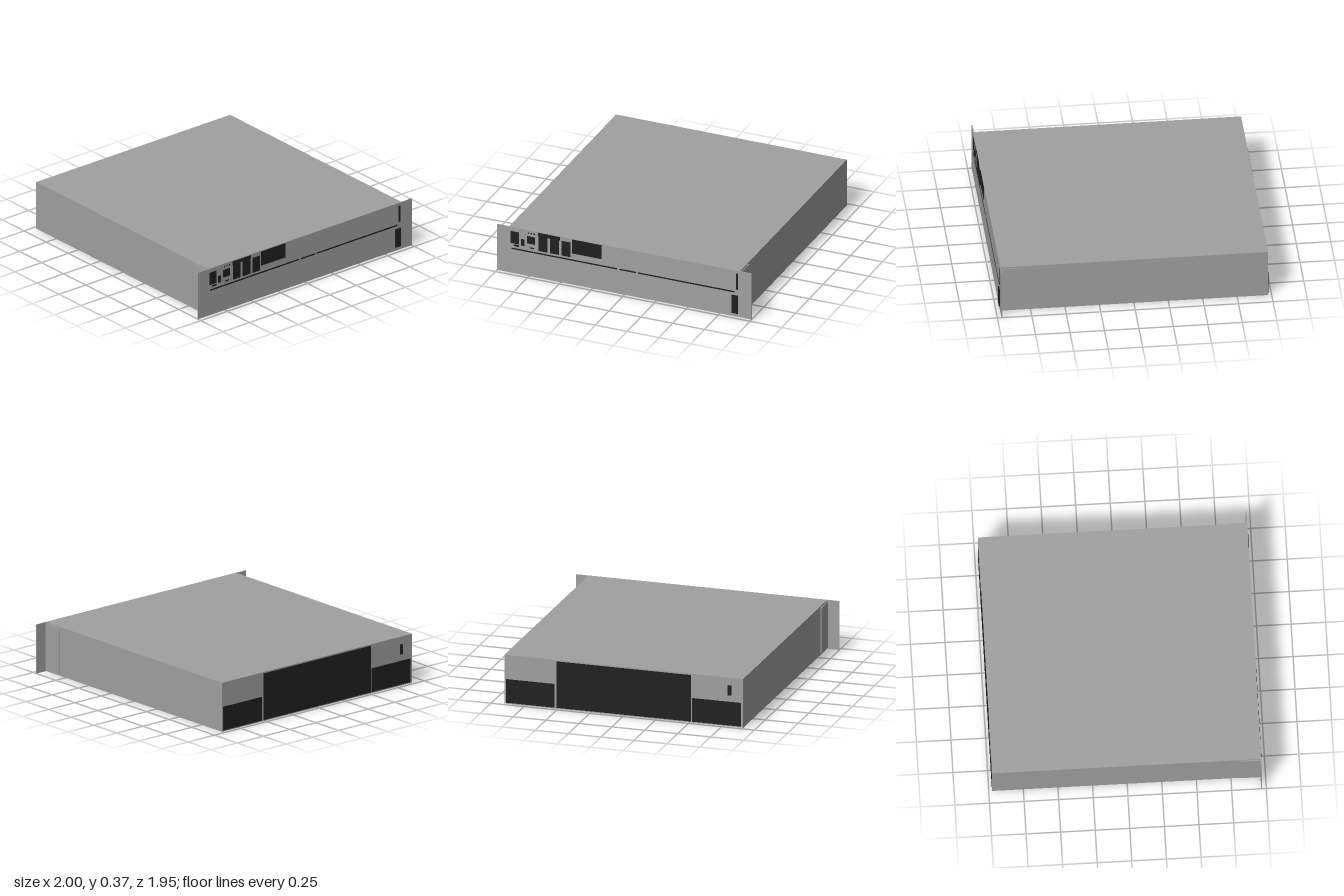
import * as THREE from 'three';

const grey = new THREE.MeshStandardMaterial({ name: 'grey metal', color: 0xa0a0a0 });
const black = new THREE.MeshStandardMaterial({ name: 'black plastic', color: 0x202020 });

const HALF_W = 0.907, H = 0.37, FRONT = 0.97, BACK = -0.975;

// Box given by its minimum and maximum corners
function box(parent, name, material, [x0, y0, z0], [x1, y1, z1]) {
  const mesh = new THREE.Mesh(new THREE.BoxGeometry(x1 - x0, y1 - y0, z1 - z0), material);
  mesh.position.set((x0 + x1) / 2, (y0 + y1) / 2, (z0 + z1) / 2);
  mesh.name = name;
  parent.add(mesh);
}

// Ports and slots: name, x0, x1, y0, y1
const frontDetails = [
  ['powerPort', -0.893, -0.829, 0.24, 0.337],
  ['powerPortLabel', -0.868, -0.829, 0.219, 0.233],
  ['smallPort', -0.813, -0.786, 0.235, 0.288],
  ['squarePort', -0.765, -0.701, 0.262, 0.321],
  ['squarePortLabel', -0.745, -0.712, 0.225, 0.234],
  ['connectorBar', -0.68, -0.508, 0.337, 0.364],
  ['connectorA', -0.674, -0.604, 0.219, 0.337],
  ['connectorB', -0.583, -0.513, 0.219, 0.337],
  ['connectorC', -0.492, -0.422, 0.219, 0.337],
  ['display', -0.412, -0.182, 0.252, 0.364],
  ['seamLeft', -0.888, -0.059, 0.193, 0.203],
  ['seamMiddle', -0.037, 0.091, 0.193, 0.203],
  ['seamRight', 0.107, 0.866, 0.193, 0.203],
  ['verticalSlot', 0.877, 0.893, 0.219, 0.348],
];
const backDetails = [
  ['leftSupply', 0.525, 0.895, 0.008, 0.187],
  ['centrePanel', -0.511, 0.511, 0.008, 0.36],
  ['rightSupply', -0.89, -0.52, 0.008, 0.187],
  ['backSlot', -0.817, -0.79, 0.235, 0.312],
];

export function createModel() {
  const model = new THREE.Group();
  model.name = 'rackUnit';

  box(model, 'chassis', grey, [-HALF_W, 0, BACK], [HALF_W, H, FRONT]);

  // Angle brackets: front ear plus a flange along the chassis side
  for (const side of [-1, 1]) {
    const bracket = new THREE.Group();
    bracket.name = side > 0 ? 'leftBracket' : 'rightBracket';
    const span = (a, b) => (side > 0 ? [a, b] : [-b, -a]);
    const ear = span(HALF_W, 1), flange = span(HALF_W, HALF_W + 0.008);
    box(bracket, 'ear', grey, [ear[0], 0, FRONT - 0.007], [ear[1], H, FRONT]);
    box(bracket, 'flange', grey, [flange[0], 0.012, 0.81], [flange[1], H - 0.012, FRONT - 0.007]);
    model.add(bracket);
  }

  // Front face
  for (const [name, x0, x1, y0, y1] of frontDetails) {
    box(model, name, black, [x0, y0, FRONT - 0.002], [x1, y1, FRONT + 0.002]);
  }
  for (let i = 0; i < 3; i++) {
    const x = -0.758 + i * 0.022;
    box(model, 'indicator', black, [x, 0.342, FRONT - 0.002], [x + 0.01, 0.352, FRONT + 0.002]);
  }
  box(model, 'handle', black, [0.845, 0.027, FRONT - 0.001], [0.893, 0.171, FRONT + 0.008]);

  // Back face
  for (const [name, x0, x1, y0, y1] of backDetails) {
    box(model, name, black, [x0, y0, BACK - 0.002], [x1, y1, BACK + 0.002]);
  }

  return model;
}
